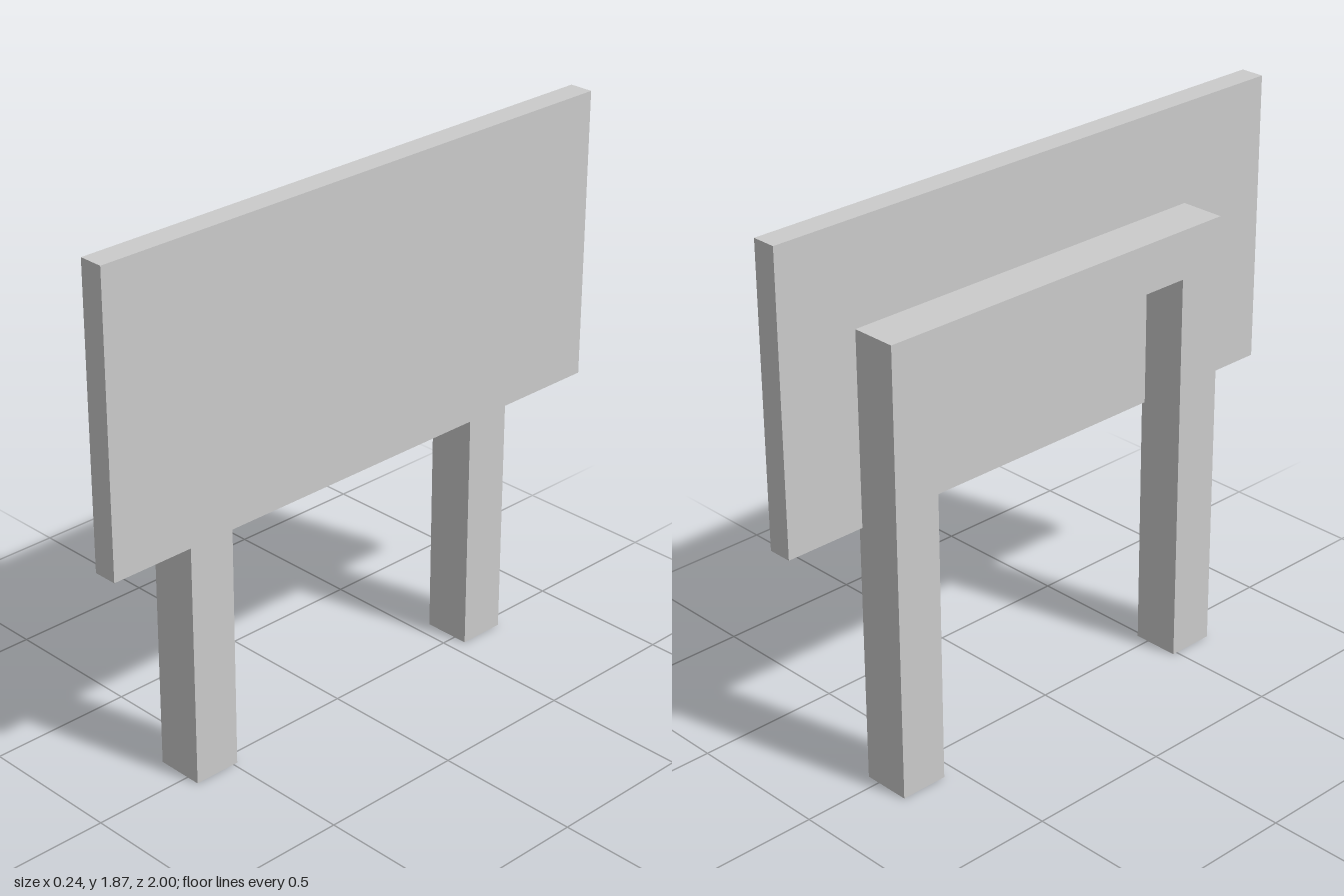
import * as THREE from 'three';

export function createModel() {
  const model = new THREE.Group();
  model.name = 'signBoard';
  const material = new THREE.MeshStandardMaterial({ color: 0xcccccc, flatShading: true });

  const add = (name, geometry) => {
    const mesh = new THREE.Mesh(geometry, material);
    mesh.name = name;
    model.add(mesh);
  };

  // Support frame: two legs joined by a top beam, drawn in (z, y) and extruded along x
  const back = -0.72, front = 0.65, top = 1.534, bar = 0.166;
  const outline = new THREE.Shape([
    [back, 0], [back + bar, 0], [back + bar, top - bar], [front - bar, top - bar],
    [front - bar, 0], [front, 0], [front, top], [back, top],
  ].map(([z, y]) => new THREE.Vector2(z, y)));
  const frame = new THREE.ExtrudeGeometry(outline, { depth: bar, bevelEnabled: false });
  frame.rotateY(-Math.PI / 2).translate(0.047, 0, 0);
  add('supportFrame', frame);

  // Flat board, slightly let into the face of the frame
  const board = new THREE.BoxGeometry(0.082, 0.984, 2);
  board.translate(0.076, 1.38, 0);
  add('board', board);

  return model;
}
